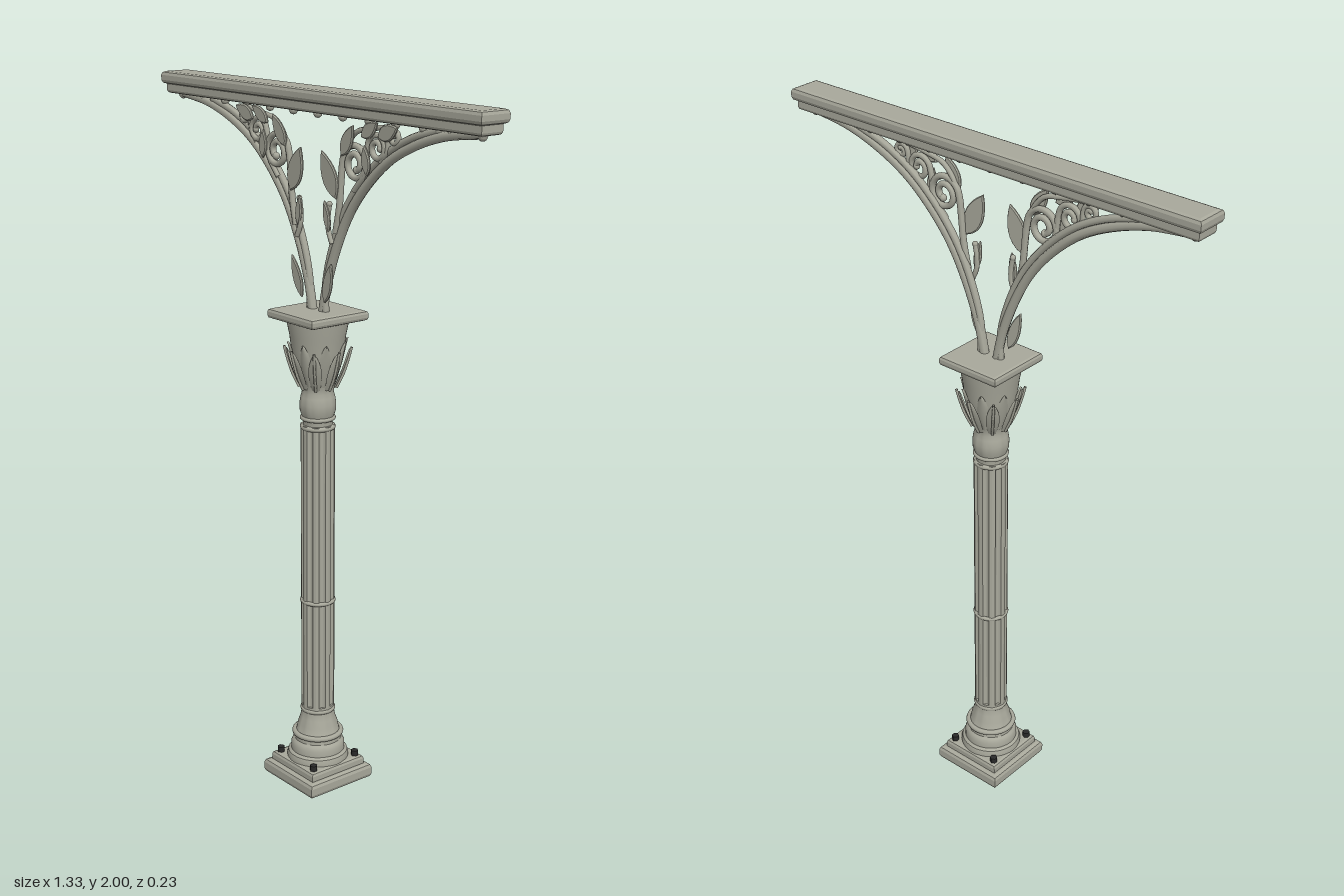
import * as THREE from 'three';
import { toCreasedNormals } from 'three/addons/utils/BufferGeometryUtils.js';

const V = (x, y, z = 0) => new THREE.Vector3(x, y, z);

export function createModel() {
  const model = new THREE.Group();
  model.name = 'ornamentalColumn';
  const iron = new THREE.MeshStandardMaterial({ color: 0xa8a89b, side: THREE.DoubleSide });
  iron.name = 'paintedIron';
  const dark = new THREE.MeshStandardMaterial({ color: 0x2a2a2a });
  dark.name = 'darkBolt';

  const add = (name, geo, parent = model, mat = iron) => {
    const mesh = new THREE.Mesh(geo, mat);
    mesh.name = name;
    parent.add(mesh);
    return mesh;
  };

  // Block with softened edges, standing on height y
  const slab = (name, w, h, d, y, b) => {
    const x = w / 2 - b, z = d / 2 - b;
    const s = new THREE.Shape([[-x, -z], [x, -z], [x, z], [-x, z]].map(p => new THREE.Vector2(...p)));
    const g = new THREE.ExtrudeGeometry(s, {
      depth: h - 2 * b, bevelThickness: b, bevelSize: b, bevelSegments: 2,
    });
    g.rotateX(-Math.PI / 2).translate(0, y + b, 0);
    return add(name, g);
  };

  const turned = (name, pts) =>
    add(name, toCreasedNormals(new THREE.LatheGeometry(pts.map(p => new THREE.Vector2(...p)), 40), 0.6));

  const ring = (name, r, tube, y) => {
    const g = new THREE.TorusGeometry(r, tube, 10, 40);
    return add(name, g.rotateX(Math.PI / 2).translate(0, y, 0));
  };

  // Plinth and bolts
  slab('plinth', 0.226, 0.044, 0.226, 0, 0.012);
  slab('plinthStep', 0.192, 0.034, 0.192, 0.036, 0.01);
  for (const x of [-1, 1]) for (const z of [-1, 1]) {
    add('bolt', new THREE.CylinderGeometry(0.011, 0.011, 0.018, 6), model, dark).position.set(x * 0.077, 0.077, z * 0.077);
  }

  // Turned base
  turned('base', [[0, 0.06], [0.088, 0.06], [0.09, 0.075], [0.086, 0.088], [0.078, 0.094], [0.078, 0.112],
    [0.074, 0.122], [0.068, 0.128], [0.068, 0.145], [0.062, 0.154], [0.058, 0.175], [0.051, 0.195],
    [0.047, 0.215], [0.047, 0.235], [0, 0.235]]);
  ring('baseRing', 0.067, 0.008, 0.147);
  ring('lowerShaftRing', 0.044, 0.007, 0.222);

  // Fluted shaft: eight flat ribs with rounded hollows between
  const flute = new THREE.Shape();
  const N = 8, half = 0.19;
  for (let i = 0; i < N; i++) {
    const a = (i / N) * Math.PI * 2, next = a + Math.PI * 2 / N - half, mid = a + Math.PI / N;
    const at = (r, t) => [r * Math.cos(t), r * Math.sin(t)];
    if (i === 0) flute.moveTo(...at(0.047, a - half));
    else flute.lineTo(...at(0.047, a - half));
    flute.lineTo(...at(0.048, a));
    flute.lineTo(...at(0.047, a + half));
    flute.quadraticCurveTo(...at(0.033, mid), ...at(0.047, next));
  }
  const shaft = new THREE.ExtrudeGeometry(flute, { depth: 0.86, bevelEnabled: false, curveSegments: 6 });
  add('flutedShaft', shaft.rotateX(-Math.PI / 2).translate(0, 0.225, 0));
  ring('middleShaftRing', 0.045, 0.006, 0.56);
  ring('upperShaftRing', 0.043, 0.007, 1.078);

  // Capital: neck, bell and abacus
  turned('capitalBell', [[0, 1.07], [0.042, 1.07], [0.041, 1.098], [0.044, 1.108], [0.05, 1.125], [0.051, 1.145],
    [0.048, 1.165], [0.044, 1.178], [0.046, 1.195], [0.055, 1.22], [0.066, 1.26], [0.073, 1.3],
    [0.078, 1.34], [0.084, 1.37], [0.086, 1.39], [0, 1.39]]);
  ring('neckRing', 0.044, 0.006, 1.104);
  slab('abacus', 0.196, 0.028, 0.196, 1.38, 0.009);

  // Curling acanthus leaves, bent around the bell
  const acanthus = (y0, h, width, lift) => {
    const g = new THREE.PlaneGeometry(1, 1, 6, 12), p = g.attributes.position;
    for (let i = 0; i < p.count; i++) {
      const u = p.getX(i) * 2, t = p.getY(i) + 0.5;
      const w = width * (0.45 + 0.9 * Math.sin(Math.PI * Math.min(1, t * 0.85 + 0.1))) * Math.sqrt(Math.max(0, 1 - t ** 4));
      const r = 0.05 + lift * Math.sin(t * Math.PI / 2) + 0.008 * t ** 4 - 0.006 * u * u;
      p.setXYZ(i, u * w / 2, y0 + h * (t - 0.08 * t ** 6), r);
    }
    g.computeVertexNormals();
    return g;
  };
  const lowLeaf = acanthus(1.19, 0.12, 0.028, 0.034);
  const highLeaf = acanthus(1.2, 0.135, 0.026, 0.03);
  const midrib = new THREE.TubeGeometry(new THREE.CatmullRomCurve3(
    [V(0, 1.19, 0.052), V(0, 1.23, 0.071), V(0, 1.27, 0.084), V(0, 1.305, 0.093)]), 10, 0.004, 6);
  for (let i = 0; i < 8; i++) {
    const a = i * Math.PI / 4;
    add('lowerCapitalLeaf', lowLeaf).rotation.y = a;
    add('capitalLeafRib', midrib).rotation.y = a;
    add('upperCapitalLeaf', highLeaf).rotation.y = a + Math.PI / 8;
  }

  // Top beam with stepped underside and a row of beads
  slab('beam', 1.328, 0.036, 0.094, 1.964, 0.011);
  slab('beamMoulding', 1.306, 0.034, 0.07, 1.938, 0.008);
  const bead = new THREE.SphereGeometry(0.012, 12, 8);
  for (let i = -6; i <= 6; i++) add('beamBead', bead).position.set(i * 0.1035, 1.934, 0);

  // Pointed leaf growing from its base along +y
  const leafGeo = (len, w) => {
    const s = new THREE.Shape();
    s.moveTo(0, 0);
    s.bezierCurveTo(w, len * 0.3, w * 0.6, len * 0.7, 0, len);
    s.bezierCurveTo(-w * 0.6, len * 0.7, -w, len * 0.3, 0, 0);
    return new THREE.ExtrudeGeometry(s, {
      depth: 0.003, bevelThickness: 0.003, bevelSize: 0.003, bevelSegments: 1, curveSegments: 8,
    });
  };

  // Stem ending in a clockwise spiral: [cx, cy], start radius, turns
  const scroll = (stem, cx, cy, r, turns) => {
    const pts = stem.map(p => [...p]), n = Math.round(turns * 12);
    for (let i = 0; i <= n; i++) {
      const a = Math.PI - (i / n) * turns * Math.PI * 2, k = r * (1 - 0.7 * i / n);
      pts.push([cx + k * Math.cos(a), cy + k * Math.sin(a)]);
    }
    return pts;
  };
  const arch = [[0.02, 1.395], [0.042, 1.49], [0.085, 1.6], [0.135, 1.69], [0.2, 1.767],
    [0.285, 1.838], [0.38, 1.887], [0.49, 1.922], [0.62, 1.94]];
  const inner = [[0.034, 1.395], [0.035, 1.49], [0.07, 1.607], [0.12, 1.702], [0.186, 1.782],
    [0.273, 1.855], [0.37, 1.905], [0.47, 1.934]];
  // path, z, radius
  const stems = [
    ['archRib', arch, 0, 0.013],
    ['innerArchRib', inner, 0, 0.01],
    ['vine', scroll([[0.085, 1.63], [0.1, 1.7], [0.107, 1.77]], 0.165, 1.82, 0.052, 1.7), 0.008, 0.009],
    ['vine', scroll([[0.16, 1.75], [0.2, 1.8]], 0.25, 1.868, 0.038, 1.5), 0.008, 0.008],
    ['vine', scroll([[0.26, 1.835], [0.285, 1.865]], 0.312, 1.9, 0.022, 1.3), 0.006, 0.007],
    ['vine', [[0.107, 1.76], [0.125, 1.85], [0.165, 1.9], [0.22, 1.915], [0.29, 1.925]], 0.008, 0.007],
    ['tendril', [[0.075, 1.6], [0.06, 1.635], [0.058, 1.67], [0.064, 1.705]], 0.012, 0.007],
  ];
  // base x, base y, turn, length, width
  const leaves = [
    [0.095, 1.725, 0.4, 0.125, 0.045], [0.05, 1.44, -0.3, 0.11, 0.025],
    [0.065, 1.635, 0.15, 0.075, 0.016], [0.12, 1.84, -0.55, 0.09, 0.03],
    [0.2, 1.895, -1.0, 0.07, 0.026], [0.265, 1.9, -1.2, 0.075, 0.03],
    [0.22, 1.8, 0.1, 0.07, 0.022],
  ];
  for (const s of [1, -1]) {
    const bracket = new THREE.Group();
    bracket.name = s > 0 ? 'leftBracket' : 'rightBracket';
    model.add(bracket);
    for (const [name, path, z, r] of stems) {
      const curve = new THREE.CatmullRomCurve3(path.map(([x, y]) => V(s * x, y, z)));
      add(name, new THREE.TubeGeometry(curve, path.length * 4, r, 8), bracket);
      const end = path[path.length - 1];
      add(name + 'Tip', new THREE.SphereGeometry(r * 1.15, 10, 8), bracket).position.set(s * end[0], end[1], z);
    }
    for (const [x, y, turn, len, w] of leaves) {
      const leaf = add('vineLeaf', leafGeo(len, w), bracket);
      leaf.position.set(s * x, y, 0.014);
      leaf.rotation.set(0.06, 0, s * turn);
    }
  }
  return model;
}
